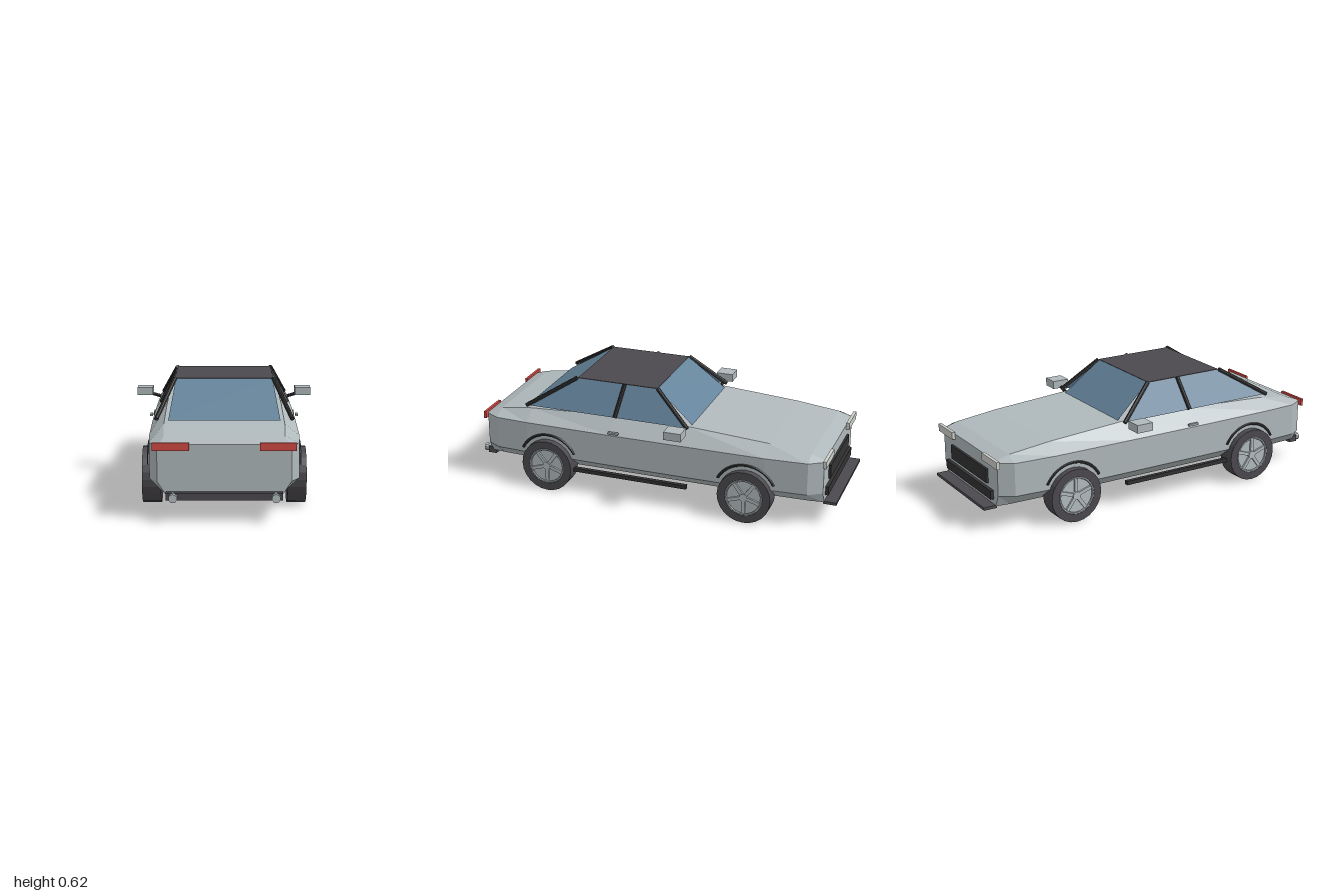
import * as THREE from 'three';

const mat = (name, color, side = THREE.FrontSide) => {
  const m = new THREE.MeshStandardMaterial({ color, flatShading: true, side });
  m.name = name;
  return m;
};

export function createModel() {
  const car = new THREE.Group();
  car.name = 'car';
  const paint = mat('silver paint', 0xb0b9bc);
  const glass = mat('blue glass', 0x64839a, THREE.DoubleSide);
  const charcoal = mat('charcoal rubber and roof', 0x4b494e);
  const black = mat('black trim', 0x323234);
  const red = mat('red lens', 0xd14a43);
  const lens = mat('pale lens', 0xcdd0ca);
  const metal = mat('wheel metal', 0xb4bdc0);

  const add = (name, geometry, material, parent = car) => {
    const m = new THREE.Mesh(geometry, material);
    m.name = name;
    parent.add(m);
    return m;
  };
  // box given by its lower and upper limits on each axis
  const box = (name, material, [x0, x1], [y0, y1], [z0, z1]) =>
    add(name, new THREE.BoxGeometry(x1 - x0, y1 - y0, z1 - z0), material)
      .position.set((x0 + x1) / 2, (y0 + y1) / 2, (z0 + z1) / 2);
  // round bar between two points
  const bar = (name, material, a, b, r, sides = 10) => {
    const p = new THREE.Vector3(...a), q = new THREE.Vector3(...b);
    const m = add(name, new THREE.CylinderGeometry(r, r, p.distanceTo(q), sides), material);
    m.position.copy(p).add(q).multiplyScalar(0.5);
    m.quaternion.setFromUnitVectors(new THREE.Vector3(0, 1, 0), q.sub(p).normalize());
  };
  const polygons = (points, index) => {
    const g = new THREE.BufferGeometry();
    g.setAttribute('position', new THREE.Float32BufferAttribute(points.flat(), 3));
    g.setIndex(index);
    const flat = g.toNonIndexed();
    flat.computeVertexNormals();
    return flat;
  };
  const pane = (name, ...points) => add(name, polygons(points, [0, 1, 2, 0, 2, 3]), glass);

  // Body shell: eight-sided sections [z, floor half width, side half width, top half width, top height]
  const sections = [
    [-0.935, 0.28, 0.31, 0.295, 0.37],
    [-0.863, 0.29, 0.357, 0.295, 0.391],
    [-0.64, 0.297, 0.372, 0.297, 0.416],
    [-0.2, 0.297, 0.375, 0.3, 0.446],
    [0.2, 0.297, 0.375, 0.3, 0.446],
    [0.68, 0.297, 0.37, 0.297, 0.42],
    [0.863, 0.29, 0.36, 0.29, 0.393],
    [0.935, 0.28, 0.32, 0.305, 0.367],
  ];
  const verts = [], faces = [];
  sections.forEach(([z, xb, xs, xt, top], i) => {
    const half = [[xb, 0.127], [xs, 0.19], [xs, 0.363], [xt, top]];
    const mirrored = half.map(([x, y]) => [-x, y]).reverse();
    [...half, ...mirrored].forEach(([x, y]) => verts.push([x, y, z]));
    if (i === 0) return;
    for (let j = 0; j < 8; j++) {
      const a = (i - 1) * 8 + j, b = (i - 1) * 8 + (j + 1) % 8;
      faces.push(a, b, b + 8, a, b + 8, a + 8);
    }
  });
  const last = (sections.length - 1) * 8;
  for (let j = 1; j < 7; j++) faces.push(0, j + 1, j, last, last + j, last + j + 1);
  add('body', polygons(verts, faces), paint);

  // Cabin
  box('roof', charcoal, [-0.25, 0.25], [0.6, 0.612], [-0.022, 0.425]);
  pane('windshield', [-0.275, 0.445, -0.222], [0.275, 0.445, -0.222], [0.245, 0.61, -0.022], [-0.245, 0.61, -0.022]);
  pane('rearWindow', [-0.275, 0.44, 0.7], [0.275, 0.44, 0.7], [0.245, 0.61, 0.425], [-0.245, 0.61, 0.425]);

  // Parts found on both flanks
  for (const s of [-1, 1]) {
    const side = s > 0 ? 'left' : 'right';
    const span = (a, b) => (s > 0 ? [a, b] : [-b, -a]);
    pane(side + 'SideWindow', [s * 0.33, 0.448, 0.68], [s * 0.33, 0.448, -0.2], [s * 0.25, 0.608, -0.022], [s * 0.25, 0.608, 0.425]);
    [['Front', -0.215, -0.025], ['Middle', 0.187, 0.16], ['Rear', 0.695, 0.43]].forEach(([n, z0, z1]) =>
      bar(side + n + 'Pillar', black, [s * 0.333, 0.448, z0], [s * 0.25, 0.61, z1], 0.011));

    box(side + 'Mirror', paint, span(0.393, 0.478), [0.435, 0.478], [-0.23, -0.138]);
    bar(side + 'MirrorStalk', black, [s * 0.348, 0.424, -0.18], [s * 0.405, 0.441, -0.18], 0.009);
    box(side + 'DoorHandle', paint, span(0.376, 0.39), [0.377, 0.387], [0.147, 0.205]);
    box(side + 'Sill', black, span(0.345, 0.367), [0.116, 0.137], [-0.222, 0.42]);
    box(side + 'TailLight', red, span(0.168, 0.343), [0.34, 0.378], [0.935, 0.949]);
    box(side + 'Headlight', lens, span(0.172, 0.34), [0.341, 0.38], [-0.952, -0.935]);
    bar(side + 'Exhaust', metal, [s * 0.244, 0.12, 0.945], [s * 0.244, 0.12, 1], 0.021, 10);

    for (const z of [-0.545, 0.555]) {
      const name = side + (z < 0 ? 'Front' : 'Rear');
      // Arch trim above the wheel
      const arch = add(name + 'Arch', new THREE.TorusGeometry(0.166, 0.007, 6, 20, Math.PI * 0.7), black);
      arch.geometry.rotateZ(Math.PI * 0.15).rotateY(Math.PI / 2);
      arch.position.set(s * 0.375, 0.145, z);

      // Wheel, built around y and turned outward
      const wheel = new THREE.Group();
      wheel.name = name + 'Wheel';
      wheel.position.set(s * 0.36, 0.143, z);
      wheel.rotation.z = -s * Math.PI / 2;
      car.add(wheel);
      const profile = [[0, -0.047], [0.142, -0.047], [0.142, 0.047], [0.1, 0.047], [0.1, 0.02]];
      add('tire', new THREE.LatheGeometry(profile.map(p => new THREE.Vector2(...p)), 24), charcoal, wheel);
      add('rimDisc', new THREE.CylinderGeometry(0.1, 0.1, 0.05, 24), metal, wheel).position.y = 0.01;
      const lip = add('rimLip', new THREE.TorusGeometry(0.095, 0.006, 6, 24), metal, wheel);
      lip.rotation.x = Math.PI / 2;
      lip.position.y = 0.043;
      add('hub', new THREE.CylinderGeometry(0.022, 0.022, 0.016, 10), metal, wheel).position.y = 0.041;
      for (let k = 0; k < 5; k++) {
        const spoke = add('spoke', new THREE.BoxGeometry(0.08, 0.012, 0.018).translate(0.055, 0.039, 0), metal, wheel);
        spoke.rotation.y = k * Math.PI * 0.4;
      }
    }
  }

  // Nose and tail fittings
  box('grille', black, [-0.205, 0.205], [0.227, 0.302], [-0.947, -0.93]);
  box('frontBumper', black, [-0.26, 0.26], [0.158, 0.205], [-0.952, -0.93]);
  box('frontSplitter', charcoal, [-0.28, 0.28], [0.117, 0.132], [-1, -0.93]);
  box('rearBumper', charcoal, [-0.278, 0.278], [0.105, 0.14], [0.92, 0.968]);
  return car;
}
